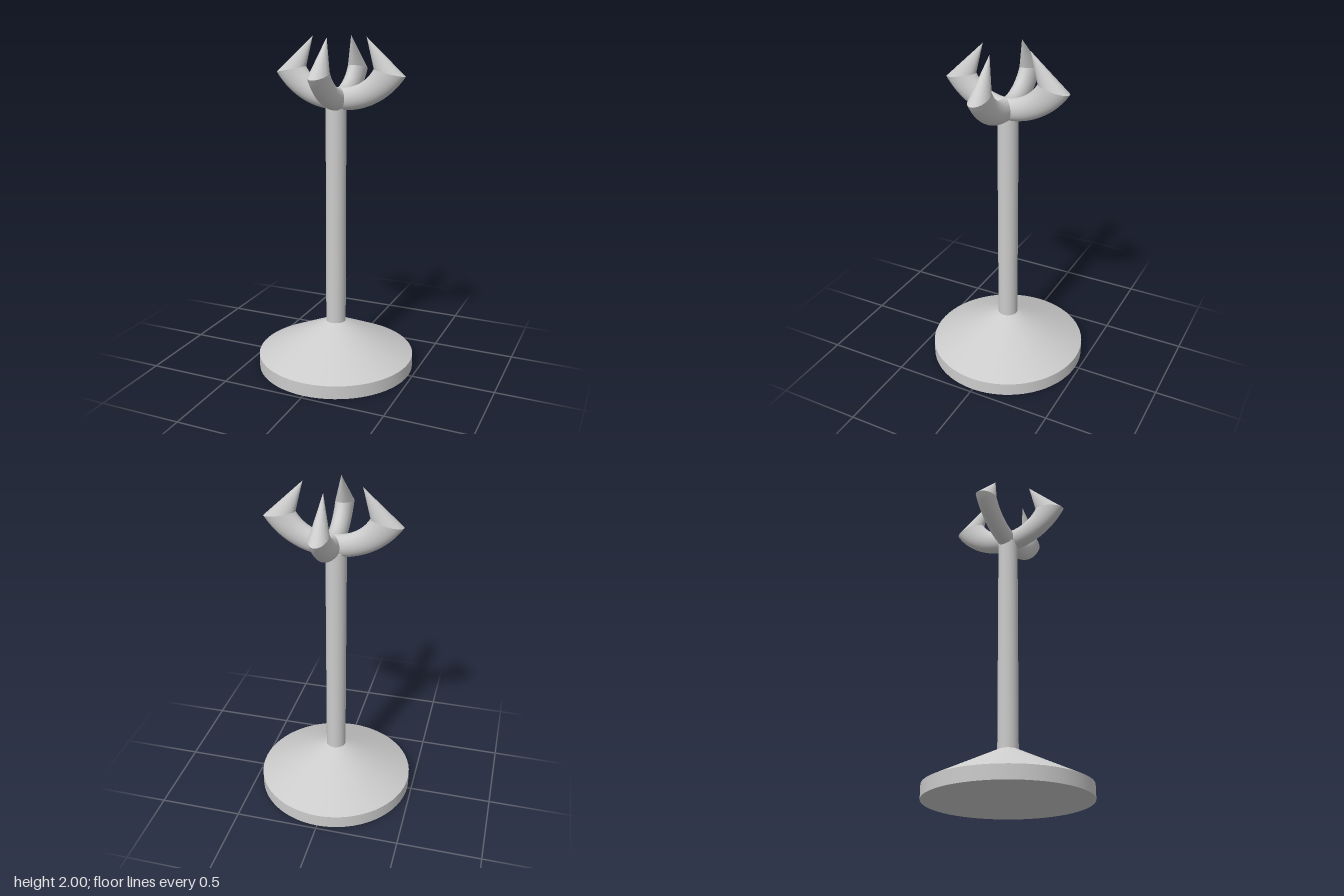
import * as THREE from 'three';

const SIDES = 32, STEPS = 20;
const HALF_WIDTH = 0.052;

// Oval cross-section of a prong at angle t, held between an inner and an outer arc
function section(t) {
  const outer = new THREE.Vector3(0.448 * Math.sin(t * 0.992), 2.033 - 0.448 * Math.cos(t * 0.992), 0);
  const inner = new THREE.Vector3(0.219 * Math.sin(t * 1.05), 1.934 - 0.219 * Math.cos(t * 1.05), 0);
  const mid = outer.clone().add(inner).multiplyScalar(0.5);
  const half = outer.sub(inner).multiplyScalar(0.5);
  return Array.from({ length: SIDES }, (_, k) => {
    const a = (k / SIDES) * Math.PI * 2;
    const p = mid.clone().addScaledVector(half, Math.cos(a));
    p.z = HALF_WIDTH * Math.sin(a);
    return p;
  });
}

// Curved arm: loft through the oval sections
function armGeometry() {
  const points = [], index = [];
  for (let i = 0; i <= STEPS; i++) points.push(...section(-0.06 + 1.06 * (i / STEPS)));
  for (let i = 0; i < STEPS; i++) {
    for (let k = 0; k < SIDES; k++) {
      const n = (k + 1) % SIDES;
      const a = i * SIDES + k, b = i * SIDES + n, c = a + SIDES, d = b + SIDES;
      index.push(a, c, b, b, c, d);
    }
  }
  const geometry = new THREE.BufferGeometry().setFromPoints(points);
  geometry.setIndex(index);
  geometry.computeVertexNormals();
  return geometry;
}

// Slanted point: the last oval joined to an offset apex
function pointGeometry() {
  const ring = section(1), apex = new THREE.Vector3(0.148, 2, 0.011);
  const points = ring.flatMap((p, k) => [p, apex, ring[(k + 1) % SIDES]]);
  const geometry = new THREE.BufferGeometry().setFromPoints(points);
  geometry.computeVertexNormals();
  return geometry;
}

export function createModel() {
  const model = new THREE.Group();
  model.name = 'prongedStand';
  const material = new THREE.MeshStandardMaterial({ color: 0xcccccc, side: THREE.DoubleSide });

  const add = (parent, name, geometry, y = 0) => {
    const mesh = new THREE.Mesh(geometry, material);
    mesh.name = name;
    mesh.position.y = y;
    parent.add(mesh);
    return mesh;
  };

  // Round foot, sloping collar and stem
  add(model, 'footDisc', new THREE.CylinderGeometry(0.475, 0.475, 0.08, 64), 0.04);
  add(model, 'footSlope', new THREE.CylinderGeometry(0.06, 0.475, 0.205, 64, 1, true), 0.1825);
  add(model, 'stem', new THREE.CylinderGeometry(0.06, 0.06, 1.34, 48), 0.95);

  // Four prongs in a cross; the sideways pair reaches slightly further
  const arm = armGeometry(), point = pointGeometry();
  const crown = new THREE.Group();
  crown.name = 'crown';
  crown.position.x = 0.02;
  ['left', 'front', 'right', 'back'].forEach((side, i) => {
    const prong = new THREE.Group();
    prong.name = side + 'Prong';
    prong.rotation.y = -i * Math.PI / 2;
    if (i % 2 === 0) prong.position.x = i === 0 ? 0.02 : -0.02;
    add(prong, side + 'Arm', arm);
    add(prong, side + 'Point', point);
    crown.add(prong);
  });
  model.add(crown);
  return model;
}
